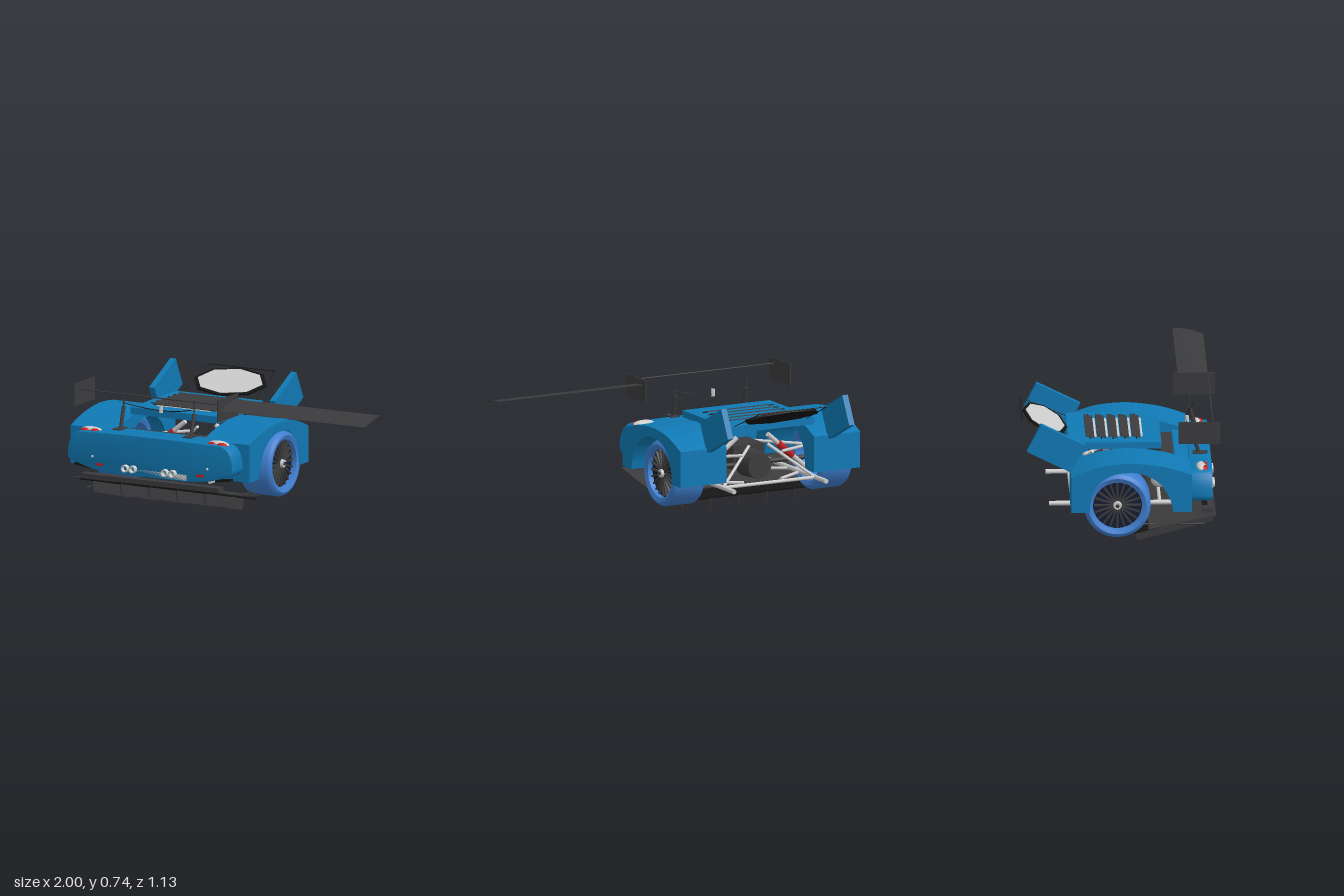
import * as THREE from 'three';
import { toCreasedNormals } from 'three/addons/utils/BufferGeometryUtils.js';

const mat = (color) => new THREE.MeshStandardMaterial({ color, side: THREE.DoubleSide });
const blue = mat(0x1079b4), tyreBlue = mat(0x3f7fd0), dark = mat(0x3b3b3d), black = mat(0x151515);
const navy = mat(0x161c30), red = mat(0xc02020), grey = mat(0xcccccc);
const CX = -0.415; // centre line of the body

export function createModel() {
  const root = new THREE.Group();
  const add = (name, geo, m, parent = root) => {
    const mesh = new THREE.Mesh(geo, m);
    mesh.name = name;
    parent.add(mesh);
    return mesh;
  };
  const box = (name, m, w, h, d, x, y, z, rx = 0) => {
    const b = add(name, new THREE.BoxGeometry(w, h, d), m);
    b.position.set(x, y, z);
    b.rotation.x = rx;
    return b;
  };
  const rod = (name, m, a, b, r) => {
    const curve = new THREE.LineCurve3(new THREE.Vector3(...a), new THREE.Vector3(...b));
    const t = add(name, new THREE.CylinderGeometry(r, r, curve.getLength(), 14), m);
    t.position.copy(curve.getPoint(0.5));
    t.quaternion.setFromUnitVectors(new THREE.Vector3(0, 1, 0), curve.getTangent(0));
    return t;
  };
  const poly = (pts) => new THREE.Shape(pts.map((p) => new THREE.Vector2(...p)));
  // side profile drawn in (z, y), swept from x0 to x1
  const sweep = (name, shape, m, x0, x1) => {
    const g = new THREE.ExtrudeGeometry(shape, { depth: x1 - x0, bevelEnabled: false, curveSegments: 24 });
    g.rotateY(-Math.PI / 2).translate(x1, 0, 0);
    return add(name, toCreasedNormals(g, 0.6), m);
  };
  const sides = [-1, 1];

  // Fenders with wheel arches
  const fender = new THREE.Shape();
  fender.moveTo(0.395, 0.235);
  fender.lineTo(0.395, 0.455);
  fender.splineThru([[0.3, 0.487], [0.2, 0.51], [0.05, 0.525], [-0.1, 0.513], [-0.2, 0.485], [-0.295, 0.445]].map((p) => new THREE.Vector2(...p)));
  fender.lineTo(-0.295, 0.235);
  fender.lineTo(-0.19, 0.235);
  fender.splineThru([[-0.18, 0.32], [-0.14, 0.4], [-0.06, 0.455], [0.05, 0.47], [0.14, 0.45], [0.22, 0.395], [0.27, 0.31], [0.288, 0.235]].map((p) => new THREE.Vector2(...p)));
  for (const s of sides) sweep('fender', fender, blue, CX + s * 0.435 - 0.15, CX + s * 0.435 + 0.15);

  // Engine cover and its louvres
  box('engineCover', blue, 0.57, 0.04, 0.53, CX, 0.54, -0.035);
  for (let i = 0; i < 5; i++) {
    const z = -0.175 + i * 0.066;
    box('louvre', dark, 0.41, 0.005, 0.05, CX, 0.569, z, 0.22);
    box('louvreGap', grey, 0.35, 0.003, 0.012, CX, 0.561, z + 0.032);
    for (const s of sides) box('louvrePin', black, 0.03, 0.004, 0.006, CX + s * 0.215, 0.566, z);
  }

  // Rounded end panel with its deck
  const panel = new THREE.Shape();
  panel.moveTo(-0.5, 0.285);
  panel.bezierCurveTo(-0.4, 0.245, -0.3, 0.232, -0.2, 0.232);
  panel.lineTo(0.2, 0.232);
  panel.bezierCurveTo(0.3, 0.232, 0.4, 0.245, 0.5, 0.285);
  panel.quadraticCurveTo(0.535, 0.285, 0.534, 0.32);
  panel.quadraticCurveTo(0.53, 0.445, 0.45, 0.45);
  panel.quadraticCurveTo(0, 0.464, -0.45, 0.45);
  panel.quadraticCurveTo(-0.53, 0.445, -0.534, 0.32);
  panel.quadraticCurveTo(-0.535, 0.285, -0.5, 0.285);
  const pg = new THREE.ExtrudeGeometry(panel, { depth: 0.115, bevelEnabled: true, bevelSize: 0.006, bevelThickness: 0.006, bevelSegments: 2, curveSegments: 20 });
  add('endPanel', toCreasedNormals(pg, 0.6), blue).position.set(CX, 0, 0.394);
  box('endDeck', blue, 0.57, 0.012, 0.1, CX, 0.447, 0.36);
  box('innerBrace', dark, 0.57, 0.02, 0.07, CX, 0.43, 0.27);

  // Lamps, reflectors and slits
  for (const s of sides) {
    const housing = add('lampHousing', new THREE.SphereGeometry(1, 24, 12), grey);
    housing.scale.set(0.068, 0.022, 0.028);
    housing.position.set(CX + s * 0.415, 0.453, 0.452);
    for (const k of sides) {
      const lamp = add('tailLamp', new THREE.SphereGeometry(1, 20, 10), red);
      lamp.scale.set(0.034, 0.018, 0.026);
      lamp.position.set(CX + s * 0.415 + k * 0.03, 0.45, 0.468);
    }
    box('reflector', red, 0.05, 0.014, 0.006, CX + s * 0.33, 0.272, 0.516);
    box('slit', black, 0.1, 0.012, 0.03, CX + s * 0.46, 0.25, 0.47).rotation.z = s * 0.14;
    const button = add('panelButton', new THREE.SphereGeometry(0.008, 12, 8), grey);
    button.position.set(CX + s * 0.375, 0.315, 0.515);
  }

  // Exhaust tips and muffler
  for (const s of sides) for (const dx of [0.105, 0.155]) {
    const x = CX + s * dx;
    const tip = add('exhaustTip', new THREE.LatheGeometry([[0.014, -0.07], [0.022, -0.07], [0.022, 0], [0.015, 0], [0.015, -0.06], [0, -0.06]].map((p) => new THREE.Vector2(...p)), 20), grey);
    tip.rotation.x = Math.PI / 2;
    tip.position.set(x, 0.268, 0.54);
    rod('exhaustPipe', grey, [x, 0.268, 0.48], [x, 0.29, 0.3], 0.014);
  }
  box('exhaustTrim', grey, 0.48, 0.035, 0.03, CX, 0.25, 0.5);
  for (const s of sides) {
    const muffler = add('muffler', new THREE.CapsuleGeometry(0.045, 0.14, 6, 16), grey);
    muffler.rotation.x = Math.PI / 2;
    muffler.position.set(CX + s * 0.12, 0.285, 0.29);
  }

  // Gearbox, axles, suspension and chassis rails
  const gearbox = add('gearbox', new THREE.CylinderGeometry(0.085, 0.075, 0.14, 24), dark);
  gearbox.rotation.x = Math.PI / 2;
  gearbox.position.set(CX, 0.28, -0.1);
  box('engineBlock', dark, 0.2, 0.14, 0.2, CX, 0.31, 0.06);
  rod('crossTube', grey, [CX - 0.3, 0.205, -0.28], [CX + 0.3, 0.205, -0.28], 0.01);
  rod('crossTube', grey, [CX - 0.3, 0.205, 0.22], [CX + 0.3, 0.205, 0.22], 0.01);
  for (const s of sides) {
    const p = (x, y, z) => [CX + s * x, y, z];
    rod('chassisRail', grey, p(0.3, 0.205, -0.413), p(0.3, 0.205, 0.35), 0.0135);
    rod('driveShaft', dark, p(0.06, 0.27, -0.03), p(0.45, 0.27, -0.03), 0.014);
    for (const z of [-0.2, 0.13]) {
      rod('lowerArm', grey, p(0.12, 0.2, z), p(0.4, 0.2, -0.03), 0.009);
      rod('upperArm', grey, p(0.13, 0.36, z), p(0.4, 0.34, -0.03), 0.009);
    }
    rod('damper', grey, p(0.1, 0.44, -0.08), p(0.36, 0.22, -0.05), 0.014);
    rod('spring', red, p(0.17, 0.38, -0.072), p(0.27, 0.295, -0.061), 0.02);
    rod('diagonalTube', grey, p(0.3, 0.205, -0.28), p(0.06, 0.4, -0.15), 0.009);
  }

  // Wheels
  const tyreProfile = [[0.14, -0.095], [0.165, -0.105], [0.18, -0.098], [0.19, -0.08], [0.19, 0.08], [0.18, 0.098], [0.165, 0.105], [0.14, 0.095], [0.14, -0.095]].map((p) => new THREE.Vector2(...p));
  for (const s of sides) {
    const wheel = new THREE.Group();
    wheel.name = 'wheel';
    add('tyre', toCreasedNormals(new THREE.LatheGeometry(tyreProfile, 64), 0.7), tyreBlue, wheel);
    const disc = add('rimDisc', new THREE.CylinderGeometry(0.14, 0.14, 0.02, 48), navy, wheel);
    disc.position.y = 0.055;
    for (let i = 0; i < 20; i++) {
      const a = (i / 20) * Math.PI * 2;
      const spoke = add('spoke', new THREE.BoxGeometry(0.11, 0.015, 0.009), dark, wheel);
      spoke.position.set(Math.cos(a) * 0.08, 0.072, -Math.sin(a) * 0.08);
      spoke.rotation.y = a;
    }
    add('hub', new THREE.CylinderGeometry(0.022, 0.028, 0.04, 20), grey, wheel).position.y = 0.075;
    add('hubNut', new THREE.CylinderGeometry(0.012, 0.012, 0.02, 6), dark, wheel).position.y = 0.09;
    add('brakeDisc', new THREE.CylinderGeometry(0.1, 0.1, 0.012, 32), dark, wheel).position.y = 0.01;
    wheel.rotation.z = -s * Math.PI / 2;
    wheel.position.set(CX + s * 0.48, 0.27, -0.03);
    root.add(wheel);
  }

  // Diffuser: sloping tray, side lips and fins
  sweep('diffuserTray', poly([[0.535, 0.187], [0.07, 0.073], [0.072, 0.064], [0.535, 0.177]]), black, CX - 0.45, CX + 0.45);
  sweep('diffuserLip', poly([[0.535, 0.192], [0.5, 0.184], [0.15, 0.113], [0.15, 0.107], [0.535, 0.185]]), dark, CX - 0.515, CX + 0.515);
  for (let i = -2; i <= 2; i++) {
    const x = CX + i * 0.183;
    sweep('diffuserFin', poly([[0.535, 0.185], [0.52, 0.11], [0.09, 0], [0.07, 0.07]]), dark, x - 0.003, x + 0.003);
  }
  box('diffuserBeam', dark, 0.9, 0.025, 0.055, CX, 0.198, 0.488);
  for (const s of sides) rod('diffuserStay', dark, [CX + s * 0.44, 0.118, 0.1], [CX + s * 0.44, 0.118, 0.47], 0.005);

  // Wing: one blade, end plates, spar and stays
  const foil = new THREE.Shape();
  foil.moveTo(0.527, 0.665);
  foil.quadraticCurveTo(0.45, 0.703, 0.35, 0.704);
  foil.quadraticCurveTo(0.45, 0.682, 0.527, 0.665);
  sweep('wingBlade', foil, dark, 0.055, 1);
  for (const s of sides) {
    box('wingEndPlate', dark, 0.007, 0.13, 0.24, CX + s * 0.47, 0.67, 0.442);
    rod('wingStay', dark, [CX + s * 0.23, 0.485, 0.443], [CX + s * 0.23, 0.605, 0.408], 0.011);
    box('stayFoot', dark, 0.055, 0.006, 0.085, CX + s * 0.23, 0.481, 0.452);
    rod('stayPin', dark, [CX + s * 0.23, 0.6, 0.41], [CX + s * 0.23, 0.685, 0.405], 0.004);
  }
  rod('wingSpar', dark, [CX - 0.47, 0.7, 0.522], [CX + 0.47, 0.7, 0.522], 0.004);
  const arc = new THREE.CatmullRomCurve3([[-0.23, 0.63, 0.43], [-0.12, 0.605, 0.395], [0, 0.595, 0.382], [0.12, 0.605, 0.395], [0.23, 0.63, 0.43]].map(([x, y, z]) => new THREE.Vector3(CX + x, y, z)));
  add('stayWire', new THREE.TubeGeometry(arc, 32, 0.0025, 6), black);
  rod('centrePost', grey, [CX, 0.583, 0.386], [CX, 0.625, 0.386], 0.011);

  // Tilted side flaps
  for (const s of sides) box('sideFlap', blue, 0.036, 0.18, 0.28, CX + s * 0.395, 0.566, -0.377, 0.465);

  // Tilted octagonal plate in a thin wire frame
  const plate = new THREE.Group();
  plate.name = 'octagonPlate';
  add('plateRim', new THREE.CylinderGeometry(1, 1, 0.012, 8), black, plate).scale.set(0.238, 1, 0.14);
  const face = add('plateFace', new THREE.CylinderGeometry(1, 1, 0.004, 8), grey, plate);
  face.scale.set(0.212, 1, 0.122);
  face.position.y = 0.006;
  plate.position.set(CX, 0.617, -0.427);
  plate.rotation.x = 0.42;
  root.add(plate);
  const wire = (a, b) => rod('plateWire', black, a, b, 0.0022);
  wire([CX - 0.22, 0.677, -0.562], [CX + 0.22, 0.677, -0.562]);
  for (const s of sides) wire([CX + s * 0.22, 0.677, -0.562], [CX + s * 0.235, 0.56, -0.3]);
  return root;
}
